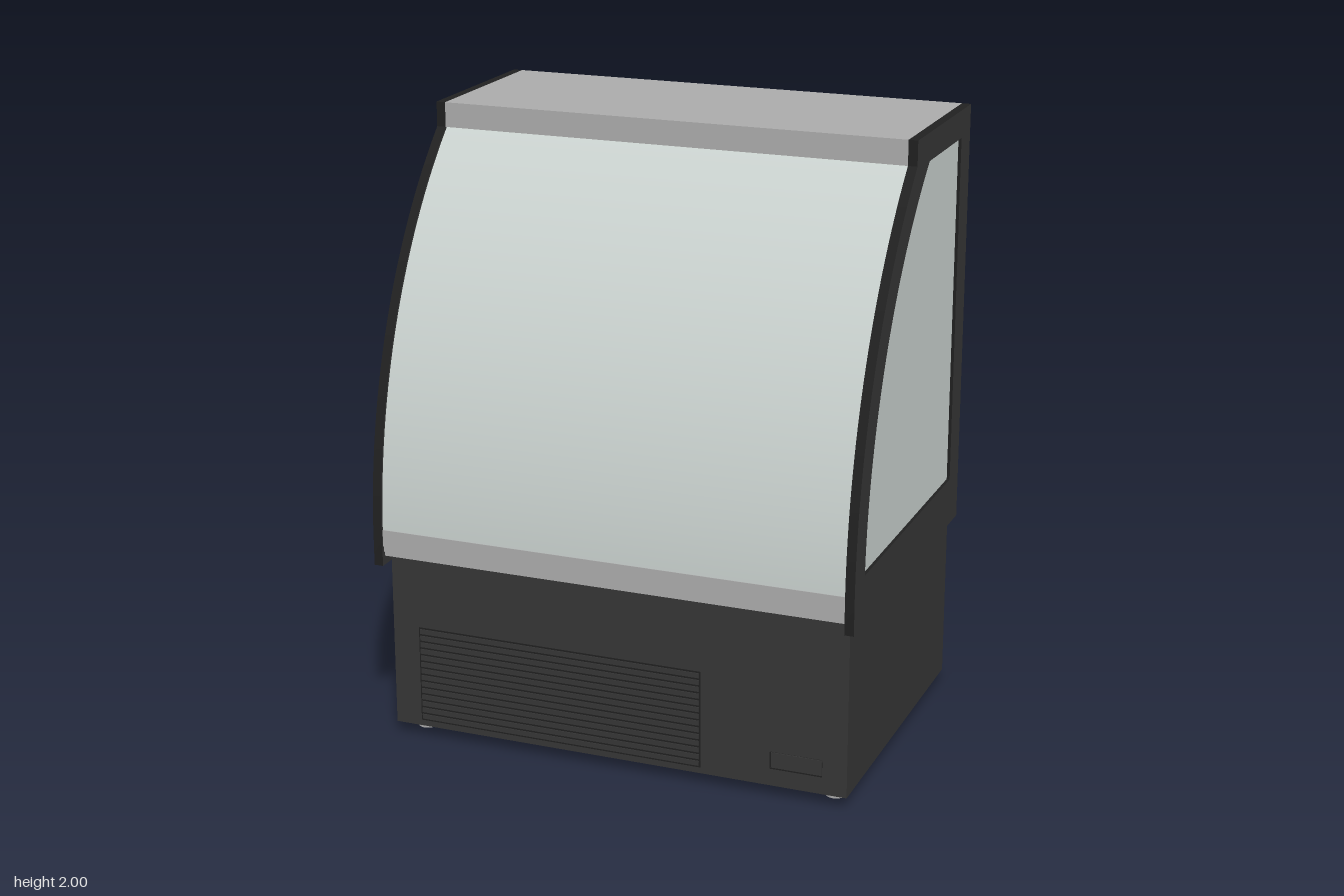
import * as THREE from 'three';
import { toCreasedNormals } from 'three/addons/utils/BufferGeometryUtils.js';

const mat = (name, color) => {
  const m = new THREE.MeshStandardMaterial({ color });
  m.name = name;
  return m;
};

export function createModel() {
  const root = new THREE.Group();
  root.name = 'displayCabinet';
  const dark = mat('charcoal', 0x353535);
  const black = mat('black', 0x202020);
  const grey = mat('grey metal', 0xaaaaaa);
  const glass = mat('pale glass', 0xc8d0cd);

  const add = (name, geometry, material, parent = root) => {
    const mesh = new THREE.Mesh(geometry, material);
    mesh.name = name;
    parent.add(mesh);
    return mesh;
  };
  // Box given by its limits on each axis
  const box = (name, material, [x0, x1], [y0, y1], [z0, z1], parent) => {
    const g = new THREE.BoxGeometry(x1 - x0, y1 - y0, z1 - z0);
    g.translate((x0 + x1) / 2, (y0 + y1) / 2, (z0 + z1) / 2);
    return add(name, g, material, parent);
  };
  // Profile drawn in (z, y), extruded along x from x0 to x1
  const extrudeX = (shape, x0, x1) => {
    const g = new THREE.ExtrudeGeometry(shape, { depth: x1 - x0, bevelEnabled: false, curveSegments: 40 });
    g.rotateY(-Math.PI / 2);
    g.translate(x1, 0, 0);
    return toCreasedNormals(g, 0.4);
  };

  // All curved edges share one centre
  const cz = -1.109, cy = 0.70;
  const angleAt = (r, y) => Math.asin((y - cy) / r);
  const arcZ = (r, y) => cz + Math.sqrt(r * r - (y - cy) ** 2);
  const R = 1.669, Rin = 1.574;

  const windowOutline = (target) => {
    target.moveTo(-0.46, 0.765);
    target.lineTo(arcZ(Rin, 0.765), 0.765);
    target.absarc(cz, cy, Rin, angleAt(Rin, 0.765), angleAt(Rin, 1.91), false);
    target.lineTo(-0.46, 1.91);
    target.closePath();
    return target;
  };

  // Side frames with glazed openings
  const frame = new THREE.Shape();
  frame.moveTo(-0.56, 0.605);
  frame.lineTo(0.56, 0.605);
  frame.lineTo(0.56, cy);
  frame.absarc(cz, cy, R, 0, angleAt(R, 1.92), false);
  frame.lineTo(0.03, 2);
  frame.lineTo(-0.56, 2);
  frame.closePath();
  frame.holes.push(windowOutline(new THREE.Path()));
  const pane = windowOutline(new THREE.Shape());
  for (const s of [-1, 1]) {
    const x = (a, b) => (s > 0 ? [a, b] : [-b, -a]);
    add('sideFrame', extrudeX(frame, ...x(0.77, 0.80)), [dark, black]);
    add('sideGlass', extrudeX(pane, ...x(0.78, 0.79)), glass);
  }
  // Extrusion groups are restored so the rim can be darker than the faces
  root.children.filter((m) => m.name === 'sideFrame').forEach((m) => {
    const n = m.geometry.attributes.normal;
    m.geometry.clearGroups();
    for (let i = 0; i < n.count; i += 3) {
      m.geometry.addGroup(i, 3, Math.abs(n.getX(i)) > 0.9 ? 0 : 1);
    }
  });

  // Curved front glass
  const Ro = 1.662, Ri = 1.647;
  const band = new THREE.Shape();
  band.absarc(cz, cy, Ro, angleAt(Ro, 0.72), angleAt(Ro, 1.925), false);
  band.absarc(cz, cy, Ri, angleAt(Ri, 1.925), angleAt(Ri, 0.72), true);
  band.closePath();
  add('frontGlass', extrudeX(band, -0.77, 0.77), glass);

  // Top, front sill and lower body
  const W = [-0.77, 0.77];
  box('topCap', grey, W, [1.92, 2], [-0.56, 0.03]);
  box('frontSillUpper', grey, W, [0.67, 0.725], [0.46, 0.555]);
  box('frontSillMiddle', grey, W, [0.65, 0.67], [0.46, 0.55]);
  box('frontSillLower', grey, W, [0.635, 0.65], [0.46, 0.545]);
  box('body', dark, W, [0.04, 0.64], [-0.559, 0.5]);
  box('deck', dark, W, [0.64, 0.70], [-0.5, 0.46]);

  // Ventilation grille
  const grille = new THREE.Group();
  grille.name = 'grille';
  root.add(grille);
  box('grilleBack', black, [-0.68, 0.29], [0.06, 0.385], [0.5, 0.501], grille);
  for (let i = 0; i < 14; i++) {
    const y = 0.066 + i * 0.0229;
    box('slat', dark, [-0.675, 0.285], [y, y + 0.016], [0.5, 0.504], grille);
  }

  // Control plate
  box('controlPlateEdge', black, [0.52, 0.69], [0.098, 0.155], [0.5, 0.503]);
  box('controlPlate', dark, [0.525, 0.69], [0.104, 0.155], [0.5, 0.506]);

  // Levelling feet
  for (const x of [-0.705, 0.705]) {
    for (const z of [0.405, -0.46]) {
      const foot = new THREE.Group();
      foot.name = 'foot';
      foot.position.set(x, 0, z);
      root.add(foot);
      add('footPad', new THREE.CylinderGeometry(0.032, 0.032, 0.018, 20).translate(0, 0.009, 0), grey, foot);
      add('footStem', new THREE.CylinderGeometry(0.018, 0.018, 0.03, 16).translate(0, 0.03, 0), grey, foot);
    }
  }

  // Rear rails and sill
  box('rearTopRail', dark, W, [1.885, 1.92], [-0.55, -0.49]);
  box('rearRailTrim', grey, W, [1.896, 1.904], [-0.553, -0.55]);
  box('rearSill', grey, W, [0.64, 0.685], [-0.555, -0.48]);
  box('rearSillTrack', grey, W, [0.685, 0.715], [-0.54, -0.48]);

  // Two sliding rear doors
  for (const s of [-1, 1]) {
    const door = new THREE.Group();
    door.name = 'rearDoor';
    root.add(door);
    const x = (a, b) => (s > 0 ? [a, b] : [-b, -a]);
    const z = s > 0 ? [-0.54, -0.515] : [-0.53, -0.505];
    box('doorGlass', glass, x(0.02, 0.75), [0.72, 1.88], [z[0] + 0.008, z[1] - 0.004], door);
    box('outerStile', dark, x(0.74, 0.77), [0.715, 1.89], z, door);
    box('innerStile', dark, x(0.002, 0.032), [0.715, 1.89], z, door);
    box('topRail', dark, x(0.002, 0.77), [1.865, 1.89], z, door);
    box('bottomRail', dark, x(0.002, 0.77), [0.71, 0.735], z, door);
    box('handle', black, x(0.018, 0.055), [1.2, 1.4], [-0.558, z[0] + 0.004], door);
  }
  return root;
}
